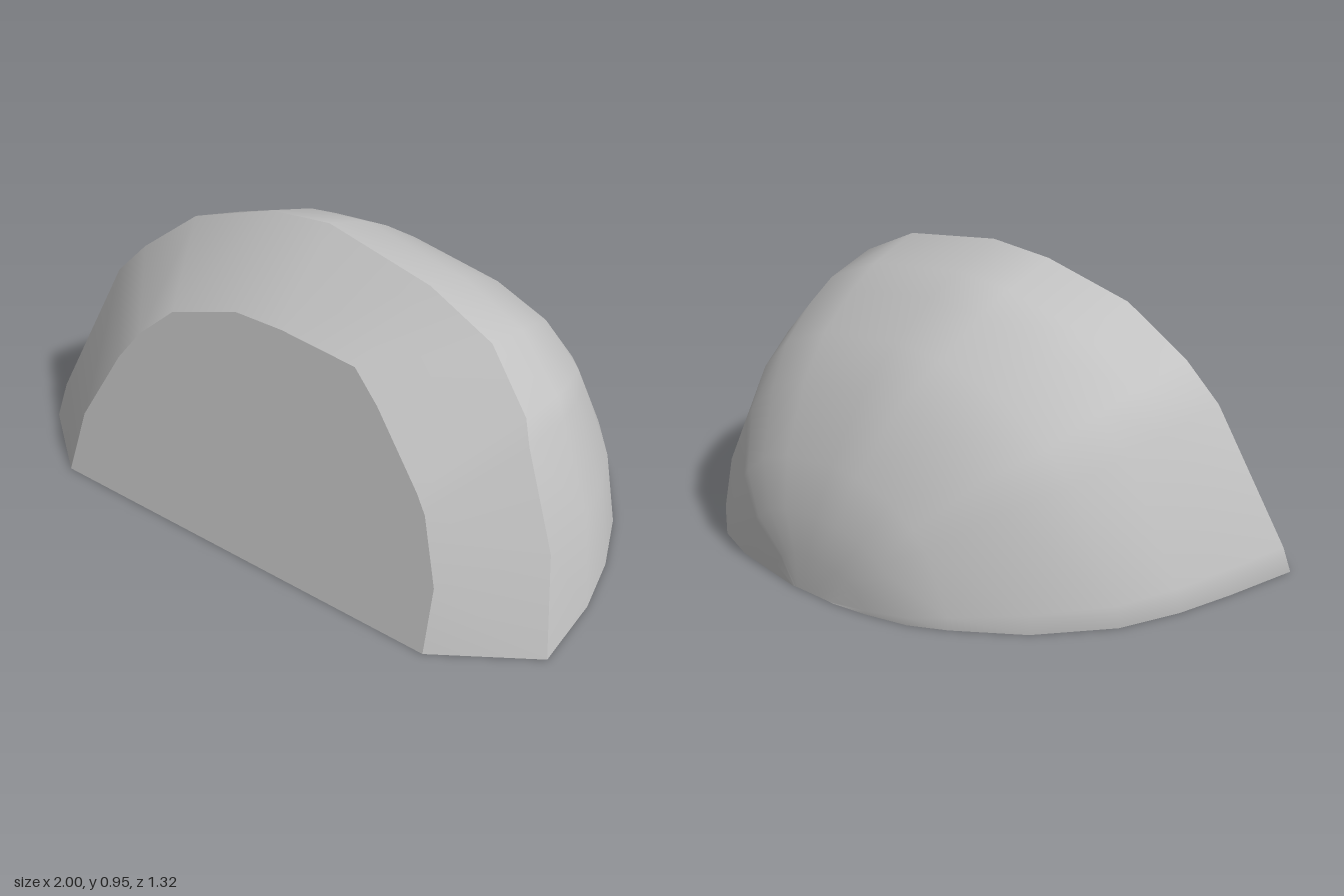
import * as THREE from 'three';

// Smooth surface through rows of points; each row has the same count.
function loft(rows, material, name) {
  const n = rows[0].length, index = [];
  for (let v = 0; v < rows.length - 1; v++) {
    for (let u = 0; u < n - 1; u++) {
      const a = v * n + u, b = a + 1, c = b + n, d = a + n;
      index.push(a, b, c, a, c, d);
    }
  }
  const geometry = new THREE.BufferGeometry();
  geometry.setAttribute('position', new THREE.Float32BufferAttribute(rows.flat(2), 3));
  geometry.setIndex(index);
  geometry.computeVertexNormals();
  const mesh = new THREE.Mesh(geometry, material);
  mesh.name = name;
  return mesh;
}

export function createModel() {
  const stone = new THREE.MeshStandardMaterial({ color: 0xc4c4c4 });
  stone.name = 'grey stone';
  const group = new THREE.Group();
  group.name = 'rock';

  // Sharp rim between the broken front and the rounded back
  const rim = [
    [-1, 0, 0.47], [-1, 0.1, 0.42], [-0.83, 0.56, 0.28], [-0.72, 0.68, 0.26],
    [-0.53, 0.835, 0.21], [-0.25, 0.93, 0.165], [-0.03, 0.955, 0.155],
    [0.37, 0.9, 0.19], [0.6, 0.8, 0.205], [0.76, 0.64, 0.26],
    [0.8, 0.58, 0.3], [0.935, 0.3, 0.37], [1, 0, 0.46],
  ];

  // Flat front, leaning back as it rises
  const plate = [
    [-0.745, 0], [-0.72, 0.2], [-0.61, 0.43], [-0.54, 0.53], [-0.42, 0.64],
    [-0.18, 0.72], [0, 0.725], [0.28, 0.71], [0.38, 0.63], [0.57, 0.44],
    [0.61, 0.39], [0.69, 0.2], [0.7, 0],
  ].map(([x, y]) => [x, y, 0.66 - 0.32 * y]);
  group.add(loft([plate.map(() => [0, 0, 0.66]), plate], stone, 'frontFace'));
  group.add(loft([plate, rim], stone, 'frontBevel'));

  // Arches behind the rim: top z, height, foot z, left and right half widths
  const arches = [
    [-0.02, 0.885, 0.2, 0.96, 0.975],
    [-0.13, 0.82, 0, 0.92, 0.92],
    [-0.28, 0.71, -0.2, 0.85, 0.83],
    [-0.41, 0.59, -0.41, 0.69, 0.68],
    [-0.55, 0.38, -0.55, 0.5, 0.5],
    [-0.615, 0.23, -0.61, 0.39, 0.34],
    [-0.645, 0.11, -0.645, 0.25, 0.15],
    [-0.66, 0, -0.662, 0.13, 0.05],
  ].map(([topZ, height, footZ, left, right]) => rim.map(([x, y, z]) => [
    x * (x < 0 ? left : right),
    y * height / 0.955,
    topZ + (footZ - topZ) * (z - 0.155) / 0.31,
  ]));
  const dome = [rim, ...arches];
  group.add(loft(dome, stone, 'roundedBack'));

  // Flat underside following the feet of the arches
  const last = rim.length - 1;
  const outline = [
    plate[last], ...dome.map((row) => row[last]),
    ...dome.map((row) => row[0]).reverse(), plate[0], plate[last],
  ];
  group.add(loft([outline.map(() => [0, 0, 0.1]), outline], stone, 'underside'));
  return group;
}
